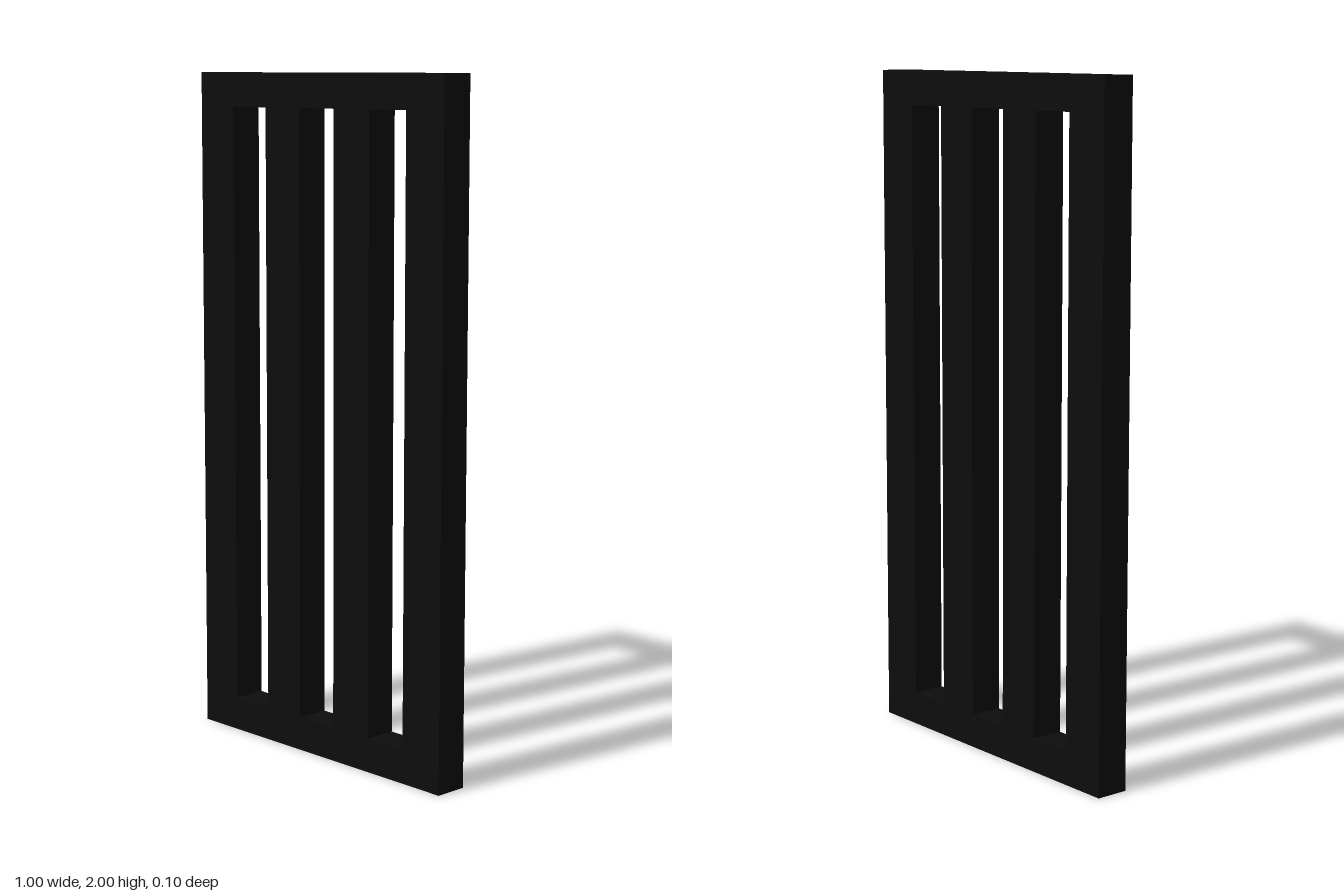
import * as THREE from 'three';

const WIDTH = 1, HEIGHT = 2, DEPTH = 0.1, RAIL = 0.1, SLOTS = 3;

// Traces a rectangle onto a Shape or Path
function rect(path, x0, y0, x1, y1) {
  path.moveTo(x0, y0);
  path.lineTo(x1, y0);
  path.lineTo(x1, y1);
  path.lineTo(x0, y1);
  path.closePath();
  return path;
}

export function createModel() {
  const black = new THREE.MeshStandardMaterial({ color: 0x0d0d0d });
  black.name = 'black';

  // Panel outline, with bars and slots of equal width
  const outline = rect(new THREE.Shape(), -WIDTH / 2, 0, WIDTH / 2, HEIGHT);
  const pitch = WIDTH / (SLOTS * 2 + 1);
  for (let i = 0; i < SLOTS; i++) {
    const x = -WIDTH / 2 + pitch * (2 * i + 1);
    outline.holes.push(rect(new THREE.Path(), x, RAIL, x + pitch, HEIGHT - RAIL));
  }

  // Barred panel, centred on its depth
  const geometry = new THREE.ExtrudeGeometry(outline, { depth: DEPTH, bevelEnabled: false });
  geometry.translate(0, 0, -DEPTH / 2);
  const panel = new THREE.Mesh(geometry, black);
  panel.name = 'barredPanel';

  const model = new THREE.Group();
  model.name = 'barredGate';
  model.add(panel);
  return model;
}
